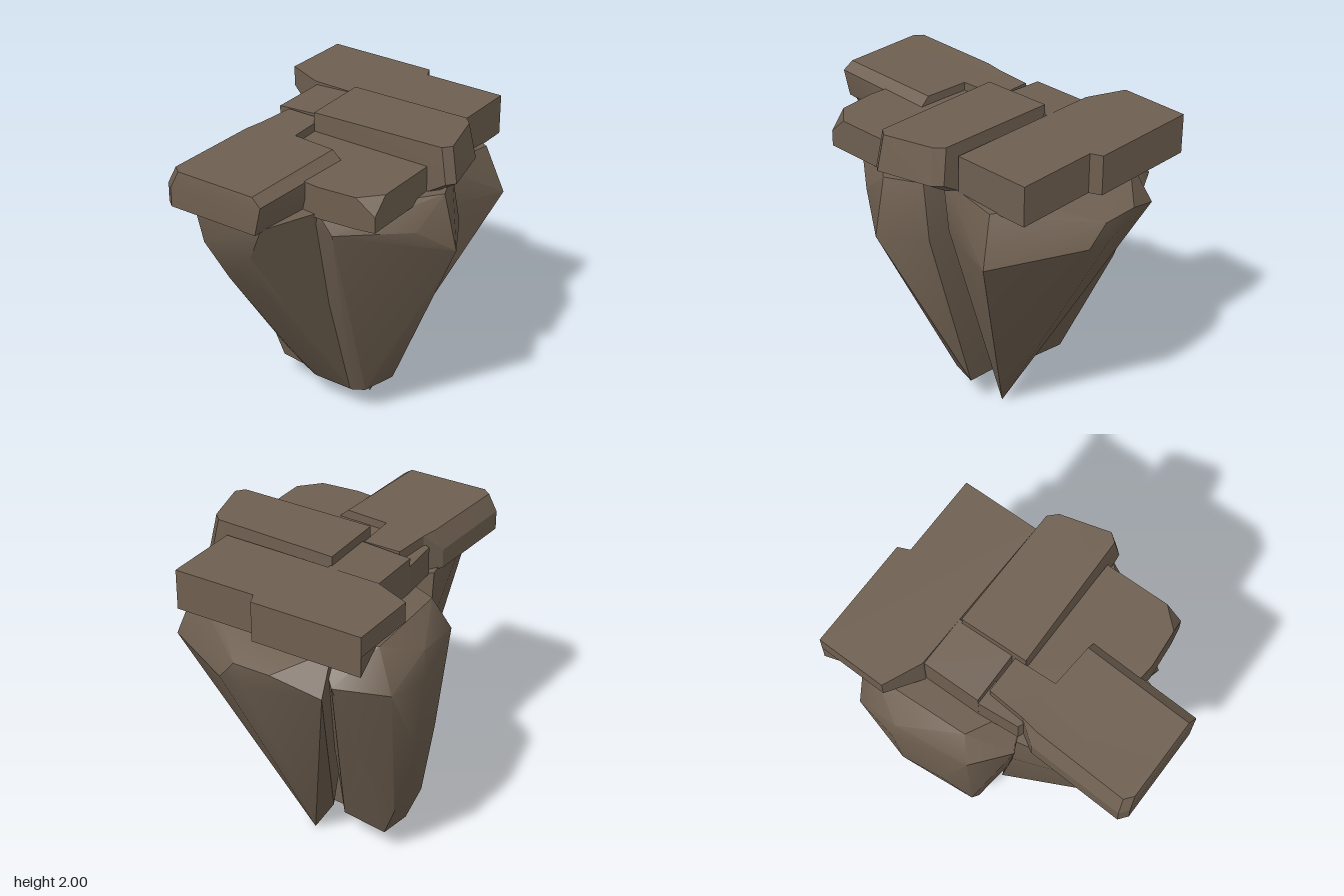
import * as THREE from 'three';
import { toCreasedNormals } from 'three/addons/utils/BufferGeometryUtils.js';
import { ConvexGeometry } from 'three/addons/geometries/ConvexGeometry.js';

const stone = new THREE.MeshStandardMaterial({ color: 0x6e5f50 });
stone.name = 'brown stone';

// Tapering boulder wrapped around a few corner points, softly shaded
function boulder(name, points) {
  const hull = new ConvexGeometry(points.map((p) => new THREE.Vector3(...p)));
  const mesh = new THREE.Mesh(toCreasedNormals(hull, 0.6), stone);
  mesh.name = name;
  return mesh;
}

// Flat slab from an [x, z] outline; adjust(v, isTop) shifts its corners
function slab(name, outline, bottom, top, adjust) {
  const shape = new THREE.Shape(outline.map(([x, z]) => new THREE.Vector2(x, -z)));
  const geometry = new THREE.ExtrudeGeometry(shape, { depth: top - bottom, steps: 2, bevelEnabled: false });
  geometry.rotateX(-Math.PI / 2).translate(0, bottom, 0);
  const pos = geometry.attributes.position;
  const v = new THREE.Vector3();
  for (let i = 0; adjust && i < pos.count; i++) {
    v.fromBufferAttribute(pos, i);
    const t = (v.y - bottom) / (top - bottom);
    adjust(v, t);
    pos.setXYZ(i, v.x, v.y, v.z);
  }
  const mesh = new THREE.Mesh(toCreasedNormals(geometry, 0.3), stone);
  mesh.name = name;
  return mesh;
}

export function createModel() {
  const model = new THREE.Group();
  model.name = 'floatingRock';

  // Hanging boulders
  model.add(
    boulder('rightFrontBoulder', [
      [0.22, 0, 0.04], [0.2, 0.2, -0.08],
      [0.67, 1.41, 0.67], [0.62, 1.7, 0.57], [0.28, 1.45, 0.54], [0.2, 1.72, 0.5],
      [0.97, 1.45, 0.16], [0.98, 1.45, 0.0], [0.99, 1.58, 0.05], [0.99, 1.58, -0.18],
      [0.9, 1.47, -0.45], [0.75, 1.69, -0.42], [0.75, 1.69, 0.3], [0.2, 1.7, -0.3],
    ]),
    boulder('frontBoulder', [
      [-0.05, 0.18, 0.1], [0.16, 0.22, 0.25], [-0.03, 0.2, 0.18], [-0.05, 0.18, -0.1], [0.12, 0.16, -0.1],
      [-0.04, 1.38, 0.79], [-0.05, 1.72, 0.71], [-0.25, 1.55, 0.66], [-0.62, 1.6, 0.36], [-0.6, 1.7, 0.25],
      [0.23, 1.4, 0.64], [0.17, 1.73, 0.62], [-0.5, 1.7, -0.2], [0.2, 1.7, -0.2],
    ]),
    boulder('leftBoulder', [
      [-0.05, 0.18, 0.08], [-0.05, 0.18, -0.18], [0, 0.18, -0.3],
      [-0.23, 0.41, -0.18], [-0.28, 0.52, -0.03], [-0.28, 0.52, -0.25],
      [-0.72, 1.17, -0.03], [-0.72, 1.17, -0.28], [-0.9, 1.48, 0.02], [-0.9, 1.48, -0.3],
      [-0.93, 1.7, 0.12], [-0.93, 1.7, -0.33], [-0.55, 1.7, 0.27],
      [-0.25, 1.7, -0.47], [-0.22, 1.35, -0.47], [0, 1.7, 0.1],
    ]),
    boulder('backBoulder', [
      [0, 0.17, -0.15], [0.22, 0.19, -0.17], [0.24, 0.17, -0.46], [0.04, 0.17, -0.49],
      [0.3, 0.4, -0.56], [0.02, 0.4, -0.58], [0.38, 0.96, -0.74], [0.12, 0.96, -0.71],
      [0.6, 0.96, -0.5], [-0.15, 0.96, -0.4], [0.38, 1.45, -0.785], [0.65, 1.45, -0.73],
      [-0.07, 1.5, -0.69], [0.36, 1.6, -0.76], [0.6, 1.7, -0.62], [0, 1.7, -0.6],
      [-0.24, 1.5, -0.48], [0.82, 1.5, -0.46], [0.7, 1.68, -0.3], [-0.2, 1.68, -0.2],
    ]),
  );

  // Slabs paving the top
  model.add(
    slab('leftSlab', [
      [-0.98, 0.16], [-0.29, 0.19], [-0.27, -0.14], [-0.01, -0.15], [-0.01, -0.38],
      [-0.24, -0.4], [-0.35, -0.47], [-0.94, -0.5], [-0.98, -0.45],
    ], 1.69, 1.92, (v, t) => {
      if (v.z > 0.1) { // sloped front edge
        if (t > 0.9) v.z -= 0.06;
        else if (t > 0.4) v.y = 1.865;
        else if (v.x < -0.9) v.z -= 0.04;
      }
      if (v.z < -0.42 && t > 0.9) v.z += 0.05;
      if (v.x < -0.9 && t > 0.9) { v.x += 0.01; v.y = 1.91; }
    }),
    slab('frontLeftSlab', [
      [-0.62, 0.27], [-0.6, 0.5], [-0.58, 0.61], [-0.08, 0.61], [-0.08, -0.16], [-0.58, -0.16],
    ], 1.68, 1.87, (v, t) => {
      if (t > 0.9 && v.x < -0.5 && v.z > 0.55) { v.x += 0.1; }
    }),
    slab('frontMiddleSlab', [
      [-0.08, 0.73], [-0.03, 0.77], [0.3, 0.69], [0.35, 0.64], [0.34, -0.16], [-0.08, -0.15],
    ], 1.72, 2, (v, t) => {
      if (v.z > 0.6) { // chamfered nose
        if (t > 0.9) v.z -= 0.04;
        else if (t > 0.4) v.y = 1.79;
        else v.z -= 0.11;
      }
      if (t > 0.9 && v.z > 0.5) v.x += v.x < 0.1 ? 0.015 : -0.02;
      if (v.z < 0 && t > 0.9) v.y = 1.985;
    }),
    slab('rightSlab', [
      [0.35, 0.53], [0.83, 0.53], [0.83, 0.02], [0.9, -0.01], [0.9, -0.69], [0.47, -0.7], [0.37, -0.47],
    ], 1.69, 1.93, (v, t) => {
      if (v.z < -0.6 && v.x < 0.6 && t < 0.1) { v.z += 0.14; }
    }),
    slab('backMiddleSlab', [
      [0.01, -0.15], [0.37, -0.15], [0.37, -0.46], [0.01, -0.46],
    ], 1.69, 1.91, (v, t) => {
      if (v.z > -0.3 && t > 0.9) v.y = 1.93;
    }),
    // Low filler chip between the back slabs
    slab('backChip', [
      [-0.3, -0.3], [0.02, -0.3], [0.02, -0.46], [-0.24, -0.44],
    ], 1.69, 1.86),
  );
  return model;
}
